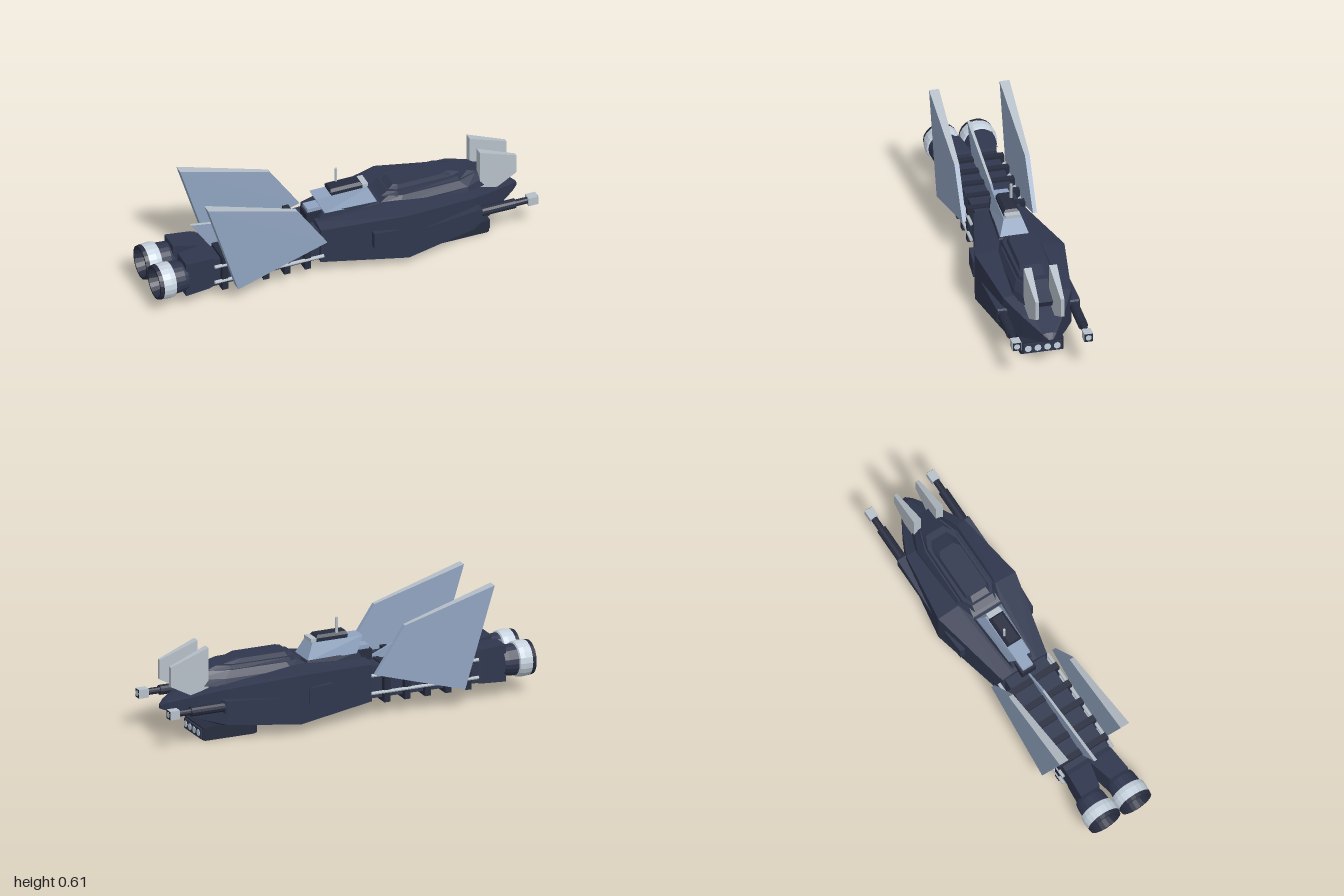
import * as THREE from 'three';

const mat = (name, color) => {
  const m = new THREE.MeshStandardMaterial({ color });
  m.name = name;
  return m;
};

// Skins equal-length rings of [x, y, z] points and closes both ends, with flat faces.
function loft(rings) {
  const tris = [], n = rings[0].length, last = rings.length - 1;
  for (let i = 0; i < last; i++) {
    for (let k = 0; k < n; k++) {
      const a = rings[i][k], b = rings[i][(k + 1) % n], c = rings[i + 1][(k + 1) % n], d = rings[i + 1][k];
      tris.push([a, b, c], [a, c, d]);
    }
  }
  for (let k = 1; k < n - 1; k++) {
    tris.push([rings[0][0], rings[0][k + 1], rings[0][k]]);
    tris.push([rings[last][0], rings[last][k], rings[last][k + 1]]);
  }
  // Signed volume tells whether the faces point outwards
  const v = (p) => new THREE.Vector3(...p);
  const volume = tris.reduce((s, [a, b, c]) => s + v(a).dot(v(b).cross(v(c))), 0);
  if (volume < 0) tris.forEach((t) => t.reverse());
  const g = new THREE.BufferGeometry();
  g.setAttribute('position', new THREE.Float32BufferAttribute(tris.flat(2), 3));
  g.computeVertexNormals();
  return g;
}

function flat(g) {
  const f = g.index ? g.toNonIndexed() : g;
  f.computeVertexNormals();
  return f;
}

// Rectangle ring across the x axis, and one lying level
const slice = (x, y0, y1, z0, z1) => [[x, y0, z0], [x, y1, z0], [x, y1, z1], [x, y0, z1]];
const level = (y, pts) => [...pts.map(([x, z]) => [x, y, z]), ...pts.slice().reverse().map(([x, z]) => [x, y, -z])];

export function createModel() {
  const group = new THREE.Group();
  const hull = mat('navy hull', 0x30374e);
  const dark = mat('dark trim', 0x272c3e);
  const blue = mat('fin blue', 0x8fa3bf);
  const grey = mat('pale grey', 0xb6bfc8);
  const light = mat('bright metal', 0xc6d2de);

  const add = (name, geo, material, x = 0, y = 0, z = 0) => {
    const m = new THREE.Mesh(geo, material);
    m.name = name;
    m.position.set(x, y, z);
    group.add(m);
    return m;
  };
  const box = (name, material, x0, x1, y0, y1, z0, z1) =>
    add(name, loft([slice(x0, y0, y1, z0, z1), slice(x1, y0, y1, z0, z1)]), material);
  const rod = (name, material, r, x0, x1, y, z, sides = 10) => {
    const g = new THREE.CylinderGeometry(r, r, x1 - x0, sides).rotateZ(-Math.PI / 2);
    return add(name, flat(g), material, (x0 + x1) / 2, y, z);
  };

  // Forward hull: x, half width, top, upper side, lower side, bottom, flat half width
  const sections = [
    [-0.13, 0.13, 0.287, 0.275, 0.085, 0.08, 0.07],
    [0.3, 0.226, 0.325, 0.31, 0.057, 0.045, 0.11],
    [0.67, 0.172, 0.29, 0.276, 0.09, 0.066, 0.09],
    [0.8, 0.11, 0.25, 0.242, 0.122, 0.112, 0.05],
    [0.93, 0.035, 0.208, 0.202, 0.158, 0.155, 0.018],
    [0.96, 0.01, 0.186, 0.185, 0.167, 0.166, 0.006],
  ];
  add('forwardHull', loft(sections.map(([x, w, t, st, sb, b, f]) => [
    [x, t, f], [x, st, w], [x, sb, w], [x, b, f], [x, b, -f], [x, sb, -w], [x, st, -w], [x, t, -f],
  ])), hull);

  // Spine with ribs
  add('spine', loft([slice(-0.72, 0.095, 0.25, -0.125, 0.125), slice(-0.12, 0.095, 0.262, -0.115, 0.115)]), hull);
  for (let i = 0; i < 5; i++) {
    const x = -0.645 + i * 0.11;
    box('rib', dark, x - 0.016, x + 0.016, 0.075, 0.268, -0.146, 0.146);
  }

  // Layered dorsal armour
  add('lowerArmour', loft([
    level(0.275, [[0.2, 0.08], [0.3, 0.125], [0.66, 0.125], [0.79, 0.07]]),
    level(0.31, [[0.2, 0.08], [0.3, 0.118], [0.66, 0.115], [0.81, 0.05]]),
    level(0.345, [[0.25, 0.075], [0.32, 0.098], [0.62, 0.095], [0.72, 0.06]]),
  ]), hull);
  add('upperArmour', loft([
    level(0.34, [[0.22, 0.06], [0.29, 0.092], [0.62, 0.088], [0.74, 0.05]]),
    level(0.364, [[0.25, 0.06], [0.3, 0.086], [0.62, 0.08], [0.68, 0.05]]),
  ]), hull);
  add('armourCap', loft([
    level(0.362, [[0.26, 0.05], [0.3, 0.068], [0.6, 0.068], [0.65, 0.045]]),
    level(0.386, [[0.29, 0.045], [0.31, 0.06], [0.54, 0.06], [0.57, 0.04]]),
  ]), hull);

  // Bridge with turret and antenna
  add('bridgeBase', loft([
    level(0.27, [[-0.12, 0.06], [0.22, 0.1]]), level(0.325, [[-0.09, 0.055], [0.2, 0.08]]),
  ]), hull);
  add('bridge', loft([
    level(0.32, [[-0.08, 0.06], [0.195, 0.075]]), level(0.402, [[-0.12, 0.04], [0.155, 0.046]]),
  ]), blue);
  box('rearHatch', dark, -0.17, -0.07, 0.27, 0.325, -0.04, 0.04);
  box('hatchPlate', blue, -0.16, -0.08, 0.325, 0.345, -0.03, 0.03);
  add('turret', loft([
    level(0.395, [[-0.035, 0.04], [0.13, 0.04]]), level(0.42, [[-0.04, 0.04], [0.13, 0.04]]),
    level(0.434, [[-0.035, 0.028], [0.12, 0.028]]),
  ]), dark);
  box('turretBarrel', grey, 0.125, 0.16, 0.404, 0.421, -0.038, 0.038);
  add('antenna', flat(new THREE.CylinderGeometry(0.007, 0.007, 0.085, 8)), grey, 0.015, 0.468, -0.025);

  // Chin pod with four lamps
  add('chinPod', loft([
    slice(0.48, 0.005, 0.085, -0.1, 0.1), slice(0.5, 0.003, 0.085, -0.11, 0.11),
    slice(0.765, 0.003, 0.07, -0.11, 0.11), slice(0.775, 0.006, 0.07, -0.105, 0.105),
  ]), dark);
  box('chinFace', hull, 0.77, 0.785, 0.012, 0.063, -0.096, 0.096);
  for (let i = 0; i < 4; i++) rod('chinLamp', light, 0.017, 0.782, 0.788, 0.038, -0.073 + i * 0.0487, 16);

  // Plate fin: outline [x, y, half thickness]; the first edge is the top edge
  const fin = (name, pts, z, side, materials) => {
    const g = loft([-1, 1].map((e) => pts.map(([x, y, t]) => [x, y, side * z + e * t])));
    g.addGroup(0, 6, 1);
    g.addGroup(6, g.attributes.position.count - 6, 0);
    add(name, g, materials);
  };
  fin('dorsalFin', [[-0.77, 0.403, 0.008], [-0.3, 0.325, 0.006], [-0.12, 0.25, 0.004], [-0.66, 0.24, 0.008]], 0, 1, [blue, grey]);

  // Engine profile, [distance aft, radius]
  const engineParts = [
    ['engineHousing', hull, [[0, 0.07], [0.02, 0.076], [0.075, 0.08]]],
    ['engineRing', light, [[0.07, 0.078], [0.075, 0.088], [0.1, 0.092], [0.14, 0.089]]],
    ['engineRim', dark, [[0.14, 0.089], [0.16, 0.086], [0.16, 0.076], [0.08, 0.06], [0.08, 0.001]]],
  ];

  for (const s of [1, -1]) {
    // Tail block halves, leaving a notch between the engines
    add('tailBlock', loft([
      slice(-0.85, 0.085, 0.275, s * 0.03, s * 0.138), slice(-0.72, 0.09, 0.265, 0, s * 0.128),
      slice(-0.695, 0.095, 0.26, 0, s * 0.122),
    ]), hull);
    for (const [name, material, pts] of engineParts) {
      const g = new THREE.LatheGeometry(pts.map(([h, r]) => new THREE.Vector2(r, h)), 20).rotateZ(Math.PI / 2);
      add(name, flat(g), material, -0.84, 0.178, s * 0.09);
    }

    // Side pipes along the spine
    for (const y of [0.13, 0.222]) rod('sidePipe', grey, 0.009, -0.7, -0.12, y, s * 0.143, 8);

    // Swept tail fins and nose fins
    fin('tailFin', [[-0.76, 0.617, 0.025], [-0.28, 0.475, 0.012], [-0.12, 0.24, 0.01], [-0.6, 0.1, 0.025]], 0.178, s, [blue, grey]);
    fin('noseFin', [[0.735, 0.474, 0.02], [0.935, 0.396, 0.009], [0.935, 0.295, 0.009], [0.83, 0.24, 0.016], [0.735, 0.265, 0.02]], 0.064, s, [grey, grey]);

    // Gun: side pod, tapering mount, barrel and muzzle
    add('gunPod', loft([
      slice(0.12, 0.15, 0.24, s * 0.14, s * 0.213), slice(0.25, 0.15, 0.235, s * 0.14, s * 0.222),
    ]), hull);
    add('gunMount', loft([
      slice(0.36, 0.185, 0.2, s * 0.15, s * 0.215), slice(0.69, 0.155, 0.228, s * 0.152, s * 0.21),
      slice(0.7, 0.162, 0.222, s * 0.158, s * 0.204),
    ]), hull);
    rod('gunBarrel', dark, 0.025, 0.68, 0.88, 0.194, s * 0.181, 12);
    rod('gunNeck', dark, 0.017, 0.87, 0.95, 0.194, s * 0.181, 12);
    box('muzzle', grey, 0.945, 0.998, 0.171, 0.216, s * 0.159, s * 0.203);
    box('muzzleFace', dark, 0.998, 0.999, 0.172, 0.215, s * 0.16, s * 0.202);
    rod('muzzleLens', light, 0.015, 0.997, 1, 0.194, s * 0.181, 16);
  }
  return group;
}
